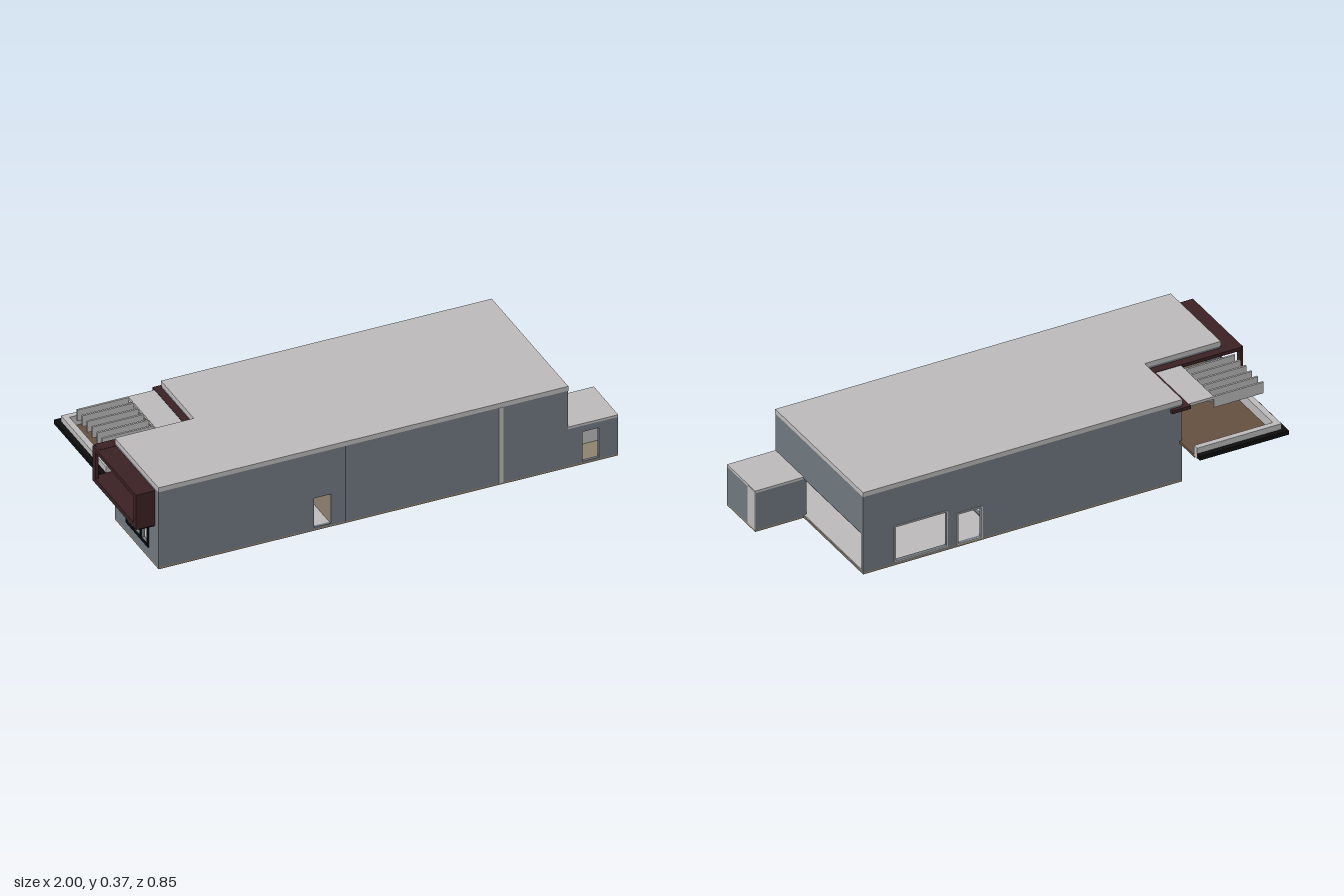
import * as THREE from 'three';

const mat = (name, color) => {
  const m = new THREE.MeshStandardMaterial({ color });
  m.name = name;
  return m;
};

export function createModel() {
  const house = new THREE.Group();
  house.name = 'house';
  const wallGrey = mat('wall grey', 0x707980);
  const lightGrey = mat('light grey', 0xbdbbbb);
  const darkRed = mat('dark red', 0x3c2124);
  const brown = mat('deck brown', 0x66503f);
  const tan = mat('tan', 0x8f8270);
  const black = mat('black', 0x0e0e0e);

  const add = (name, geo, m) => {
    const mesh = new THREE.Mesh(geo, m);
    mesh.name = name;
    house.add(mesh);
    return mesh;
  };
  // box given by its limits on each axis
  const box = (name, m, x0, x1, y0, y1, z0, z1) => {
    const g = new THREE.BoxGeometry(x1 - x0, y1 - y0, z1 - z0);
    g.translate((x0 + x1) / 2, (y0 + y1) / 2, (z0 + z1) / 2);
    return add(name, g, m);
  };
  const rect = (Type, a0, a1, b0, b1) => {
    const p = new Type();
    p.moveTo(a0, b0);
    p.lineTo(a1, b0);
    p.lineTo(a1, b1);
    p.lineTo(a0, b1);
    p.closePath();
    return p;
  };
  const panel = (a0, a1, y0, y1, holes, t) => {
    const s = rect(THREE.Shape, a0, a1, y0, y1);
    s.holes = holes.map((h) => rect(THREE.Path, ...h));
    return new THREE.ExtrudeGeometry(s, { depth: t, bevelEnabled: false });
  };
  const T = 0.012;
  // wall along x, filling z..z+t; holes are [x0, x1, y0, y1]
  const wallX = (name, m, z, x0, x1, y0, y1, holes = [], t = T) =>
    add(name, panel(x0, x1, y0, y1, holes, t).translate(0, 0, z), m);
  // wall along z, filling x..x+t; holes are [z0, z1, y0, y1]
  const wallZ = (name, m, x, z0, z1, y0, y1, holes = [], t = T) => {
    const flipped = holes.map(([a, b, c, d]) => [-b, -a, c, d]);
    const g = panel(-z1, -z0, y0, y1, flipped, t);
    return add(name, g.rotateY(Math.PI / 2).translate(x, 0, 0), m);
  };
  // horizontal slab from a plan outline in x, z
  const slab = (name, m, plan, y0, y1) => {
    const s = new THREE.Shape(plan.map(([x, z]) => new THREE.Vector2(x, -z)));
    const g = new THREE.ExtrudeGeometry(s, { depth: y1 - y0, bevelEnabled: false });
    return add(name, g.rotateX(-Math.PI / 2).translate(0, y0, 0), m);
  };

  // L-shaped plan of the main block, with the corner cut out for the terrace
  const L = (i) => [
    [-0.92 + i, 0.42 - i], [0.79 - i, 0.42 - i], [0.79 - i, -0.265 + i],
    [-0.59 + i, -0.265 + i], [-0.59 + i, 0.03 + i], [-0.92 + i, 0.03 + i],
  ];
  slab('foundation', tan, L(0), 0, 0.008);
  slab('groundFloor', lightGrey, L(0.002), 0.008, 0.013);
  slab('upperFloor', lightGrey, L(0.006), 0.166, 0.18);
  slab('roof', lightGrey, L(-0.001), 0.345, 0.365);
  box('floorPatch', lightGrey, 0.58, 0.72, -0.002, 0, -0.19, 0.01);

  // outer walls
  const Y0 = 0.008, Y1 = 0.345;
  wallX('frontWall', wallGrey, 0.42 - T, -0.92, 0.79, Y0, Y1, [[-0.27, -0.2, 0.015, 0.145]]);
  wallX('backWall', wallGrey, -0.265, -0.59, 0.79, Y0, Y1,
    [[0.43, 0.65, 0.02, 0.17], [0.28, 0.38, 0.015, 0.145]]);
  wallZ('rightUpperWall', wallGrey, 0.79 - T, -0.265 + T, 0.42 - T, 0.175, Y1);
  wallZ('rightLowerWall', wallGrey, 0.79 - T, 0.2, 0.42 - T, Y0, 0.175);
  const slits = [0, 1, 2].map((i) => [0.145 + i * 0.064, 0.197 + i * 0.064, 0.06, 0.16]);
  wallZ('leftWall', wallGrey, -0.92, 0.03 + T, 0.42 - T, Y0, Y1, [...slits, [0.07, 0.35, 0.205, 0.315]]);
  wallZ('slitWindowSurround', black, -0.926, 0.135, 0.335, 0.05, 0.168, slits, 0.006);
  wallX('terraceWall', wallGrey, 0.03, -0.92, -0.59 + T, Y0, Y1,
    [[-0.88, -0.83, 0.015, 0.145], [-0.86, -0.66, 0.19, 0.31]]);
  wallX('terraceGlazing', tan, 0.036, -0.86, -0.66, 0.19, 0.31, [], 0.004);
  wallZ('terraceSideWall', wallGrey, -0.59, -0.265 + T, 0.03, Y0, Y1, [[-0.14, -0.065, 0.015, 0.1]]);
  wallZ('terraceSidePanel', tan, -0.594, -0.25, -0.17, 0.015, 0.16, [], 0.004);
  box('terraceDoor', darkRed, -0.885, -0.825, 0.013, 0.15, 0.042, 0.046);

  // front trim
  box('frontPilaster', lightGrey, 0.5, 0.52, 0.008, 0.345, 0.42, 0.423);
  box('wallJoint', black, -0.141, -0.139, 0.008, 0.345, 0.42, 0.421);

  // back window and door surrounds
  const surround = (name, x0, x1, y0, y1) =>
    wallX(name, lightGrey, -0.268, x0 - 0.006, x1 + 0.006, y0 - 0.005, y1 + 0.006, [[x0, x1, y0, y1]], 0.004);
  surround('backWindowFrame', 0.43, 0.65, 0.02, 0.17);
  surround('backDoorFrame', 0.28, 0.38, 0.015, 0.145);

  // side annex
  slab('annexFloor', tan, [[0.79, 0.42], [1, 0.42], [1, 0.2], [0.79, 0.2]], 0, 0.008);
  box('annexRoof', lightGrey, 0.79, 1, 0.172, 0.182, 0.2, 0.42);
  wallX('annexFront', wallGrey, 0.42 - T, 0.79, 1, Y0, 0.172, [[0.85, 0.92, 0.013, 0.145]]);
  wallX('annexBack', wallGrey, 0.2, 0.79, 1, Y0, 0.172);
  wallZ('annexSide', wallGrey, 1 - T, 0.2 + T, 0.42 - T, Y0, 0.172);
  box('annexSidePanel', lightGrey, 0.998, 1.002, 0.01, 0.18, 0.199, 0.255);
  box('annexInnerWall', lightGrey, 0.8, 0.98, 0.01, 0.17, 0.3, 0.304);

  // interior seen through the openings
  wallZ('innerWall', wallGrey, 0.2, -0.253, 0.24, 0.013, 0.166,
    [[0.145, 0.2, 0.058, 0.16], [-0.14, -0.065, 0.018, 0.1]]);
  box('innerRedPanel', darkRed, 0.212, 0.218, 0.118, 0.166, -0.16, 0.04);
  box('innerTanPanel', tan, 0.212, 0.22, 0.013, 0.166, -0.225, -0.16);
  box('innerPost', lightGrey, 0.6, 0.612, 0.013, 0.166, 0.046, 0.058);
  box('hallPartition', lightGrey, -0.5, 0.2, 0.013, 0.166, 0.24, 0.252);
  box('hallSide', tan, -0.2, -0.194, 0.013, 0.166, 0.252, 0.408);

  // dark red balcony frame on the left end
  wallZ('balconyFrame', darkRed, -1, 0, 0.39, 0.18, 0.335, [[0.025, 0.365, 0.2, 0.318]], 0.012);
  box('balconyTop', darkRed, -0.99, -0.92, 0.318, 0.335, 0, 0.39);
  box('balconyFloor', darkRed, -0.99, -0.92, 0.18, 0.198, 0, 0.39);
  box('balconyEndFront', darkRed, -0.99, -0.92, 0.198, 0.318, 0.375, 0.39);
  wallZ('balconyGlazing', tan, -0.914, 0.07, 0.35, 0.205, 0.315, [], 0.004);
  box('balconyBase', black, -0.985, -0.92, 0.17, 0.18, 0, 0.38);

  // red eaves around the terrace
  box('eaveLong', darkRed, -0.99, -0.59, 0.322, 0.336, -0.005, 0.04);
  box('eaveShort', darkRed, -0.62, -0.589, 0.322, 0.336, -0.28, -0.005);
  box('eaveReturn', darkRed, -0.589, -0.54, 0.322, 0.336, -0.28, -0.265);

  // terrace deck, parapet and black edge band
  box('terraceDeck', brown, -0.945, -0.58, 0.172, 0.182, -0.38, 0.03);
  box('parapetBack', lightGrey, -0.945, -0.58, 0.178, 0.225, -0.402, -0.378);
  box('parapetSide', lightGrey, -0.945, -0.92, 0.178, 0.225, -0.378, 0);
  box('edgeBandBack', black, -0.965, -0.58, 0.182, 0.2, -0.424, -0.402);
  box('edgeBandSide', black, -0.965, -0.945, 0.182, 0.2, -0.402, 0);

  // pergola slab and fins
  box('pergolaSlab', lightGrey, -0.73, -0.62, 0.322, 0.334, -0.262, -0.005);
  for (let i = 0; i < 6; i++) {
    const z = -0.262 + i * 0.0445;
    box('pergolaFin' + (i + 1), lightGrey, -0.945, -0.73, 0.285, 0.334, z, z + 0.008);
  }

  return house;
}
